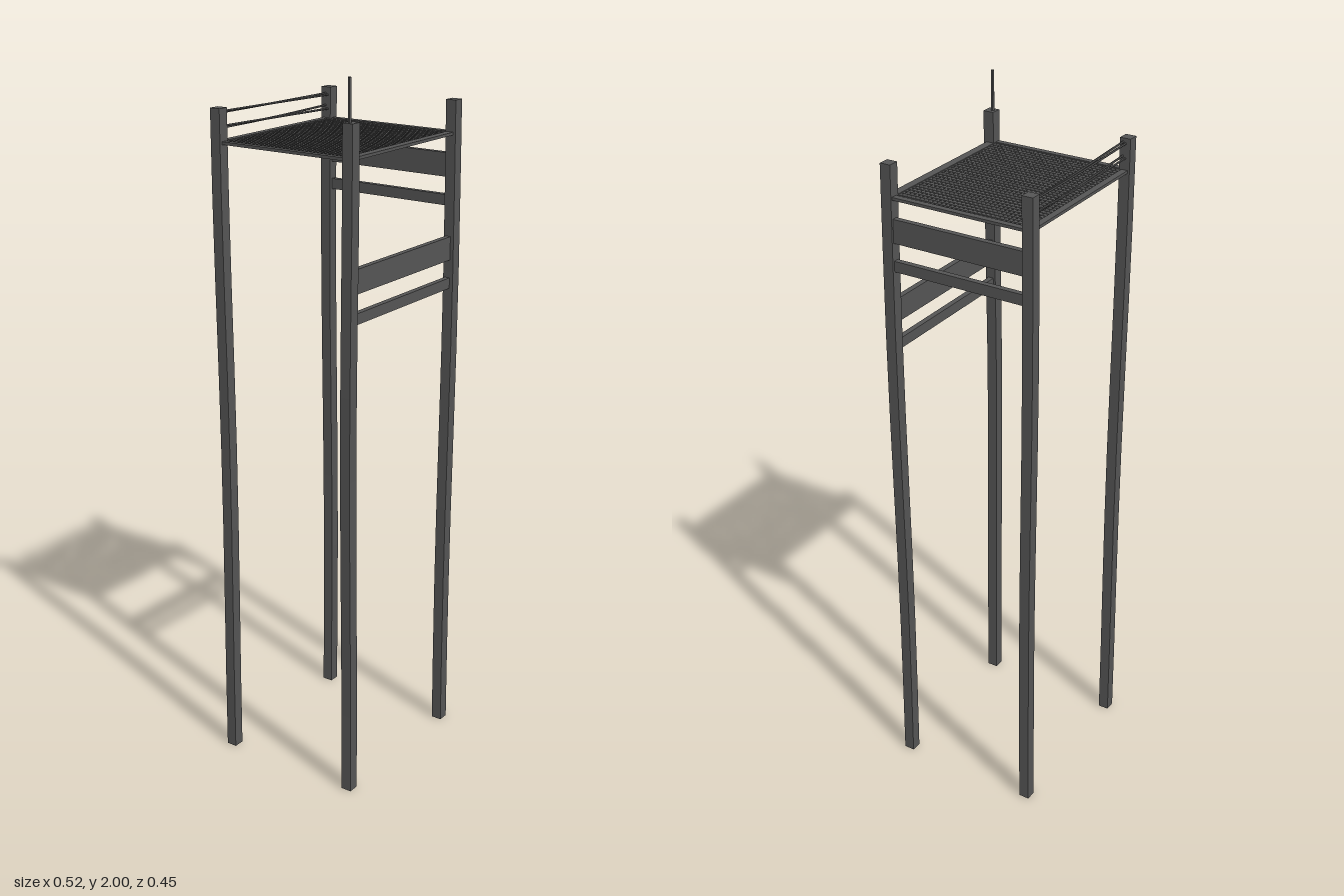
import * as THREE from 'three';
import { mergeGeometries } from 'three/addons/utils/BufferGeometryUtils.js';

const material = new THREE.MeshStandardMaterial({ color: 0x555555, flatShading: true });

export function createModel() {
  const model = new THREE.Group();

  const add = (name, geometry, x = 0, y = 0, z = 0) => {
    const mesh = new THREE.Mesh(geometry, material);
    mesh.name = name;
    mesh.position.set(x, y, z);
    model.add(mesh);
    return mesh;
  };
  const box = (name, w, h, d, x, y, z) => add(name, new THREE.BoxGeometry(w, h, d), x, y, z);

  // Four tall, slightly crooked timber posts
  const H = 1.89;
  const posts = [
    ['frontRightPost', -0.243, 0.206, 0.4],
    ['frontLeftPost', 0.239, 0.206, 2.3],
    ['backRightPost', -0.245, -0.208, 4.1],
    ['backLeftPost', 0.24, -0.21, 5.2],
  ];
  for (const [name, x, z, phase] of posts) {
    const g = new THREE.BoxGeometry(0.031, H, 0.031, 1, 8, 1);
    const p = g.attributes.position;
    for (let i = 0; i < p.count; i++) {
      const y = p.getY(i) + H / 2;
      p.setX(i, p.getX(i) + 0.002 * Math.sin(y * 4 + phase));
      p.setZ(i, p.getZ(i) + 0.002 * Math.cos(y * 3 + phase));
    }
    add(name, g, x, H / 2, z);
  }

  // Thin mast on the front right post
  add('mast', new THREE.CylinderGeometry(0.005, 0.005, 0.14, 6), -0.243, 1.93, 0.205);

  // Board and batten pairs bracing the front and left sides
  box('frontBoard', 0.462, 0.066, 0.016, -0.003, 1.484, 0.205);
  box('frontBatten', 0.462, 0.03, 0.016, -0.003, 1.385, 0.205);
  box('sideBoard', 0.016, 0.066, 0.392, 0.241, 1.712, -0.002);
  box('sideBatten', 0.016, 0.03, 0.392, 0.241, 1.615, -0.002);

  // Platform frame
  const deckY = 1.8;
  box('frontFrame', 0.462, 0.008, 0.023, -0.003, deckY, 0.203);
  box('backFrame', 0.462, 0.008, 0.019, -0.003, deckY, -0.21);
  box('rightFrame', 0.017, 0.008, 0.4, -0.245, deckY, -0.002);
  box('leftFrame', 0.018, 0.008, 0.4, 0.241, deckY, -0.002);

  // Grating: bars crossing in both directions
  const bars = [];
  const nx = 32, nz = 30, stepX = 0.0147, stepZ = 0.0132;
  for (let i = 0; i <= nx; i++) {
    bars.push(new THREE.BoxGeometry(0.0078, 0.004, 0.394)
      .translate(-0.0025 + (i - nx / 2) * stepX, 0.0005, -0.005));
  }
  for (let j = 0; j <= nz; j++) {
    bars.push(new THREE.BoxGeometry(0.471, 0.004, 0.0088)
      .translate(-0.0025, -0.0005, -0.006 + (j - nz / 2) * stepZ));
  }
  add('grating', mergeGeometries(bars), 0, deckY, 0);

  // Sagging wire pairs forming the back railing: [left end, middle, right end] heights
  const wires = [
    [1.88, 1.874, 1.868, -0.204],
    [1.876, 1.873, 1.872, -0.211],
    [1.842, 1.835, 1.829, -0.204],
    [1.836, 1.835, 1.839, -0.211],
  ];
  for (const [a, b, c, z] of wires) {
    const path = new THREE.CatmullRomCurve3([
      new THREE.Vector3(-0.24, a, z),
      new THREE.Vector3(0, b, z - 0.002),
      new THREE.Vector3(0.235, c, z),
    ]);
    add('railWire', new THREE.TubeGeometry(path, 10, 0.003, 6));
  }

  return model;
}
